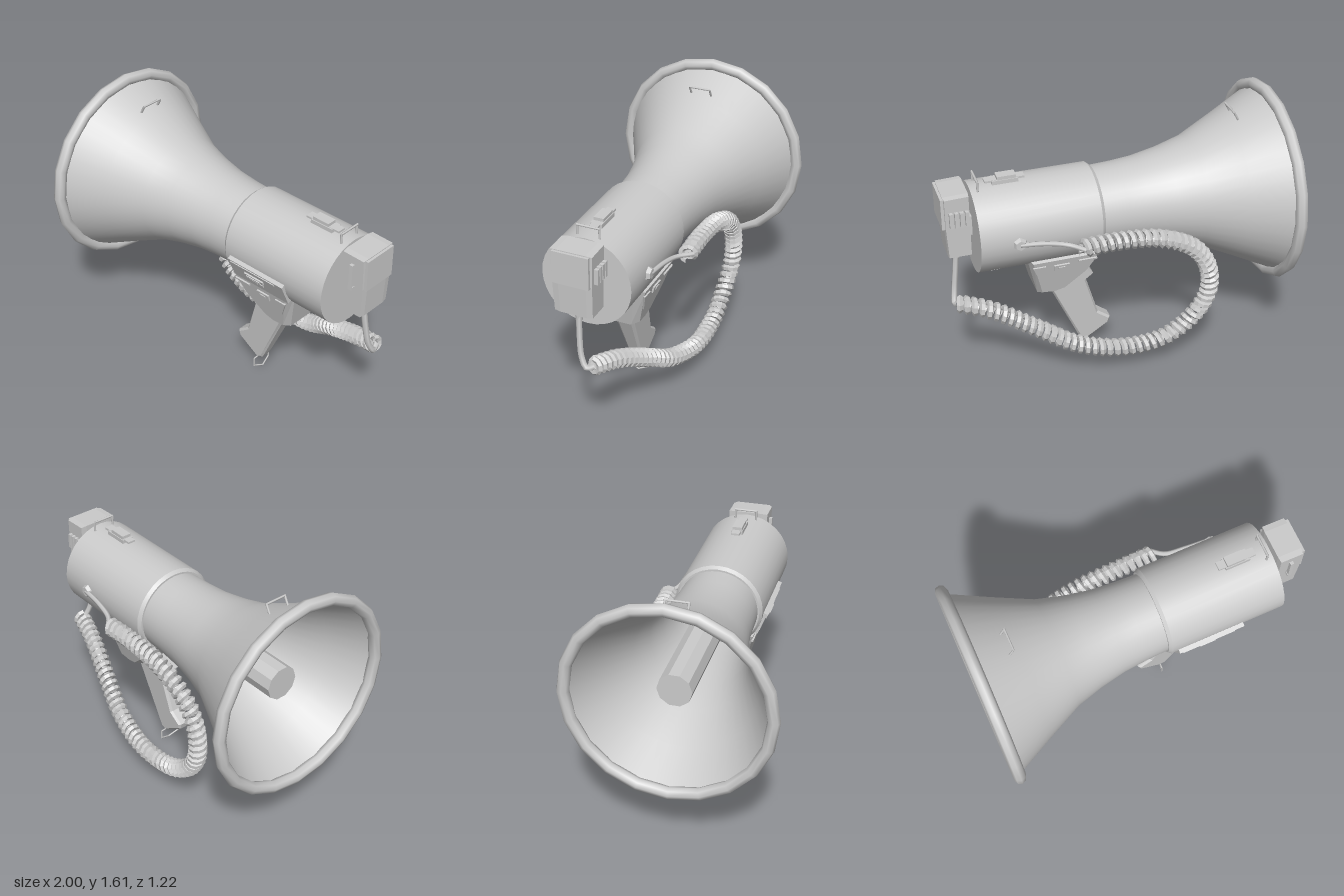
import * as THREE from 'three';

const mat = new THREE.MeshStandardMaterial({ color: 0xcccccc });
const matOpen = new THREE.MeshStandardMaterial({ color: 0xcccccc, side: THREE.DoubleSide });
const matFlat = new THREE.MeshStandardMaterial({ color: 0xcccccc, flatShading: true });
const AXIS_Y = 1.005;
const V = (x, y, z) => new THREE.Vector3(x, y, z);

function add(parent, name, geometry, material = mat) {
  const mesh = new THREE.Mesh(geometry, material);
  mesh.name = name;
  parent.add(mesh);
  return mesh;
}

function box(parent, name, w, h, d, x, y, z) {
  const mesh = add(parent, name, new THREE.BoxGeometry(w, h, d));
  mesh.position.set(x, y, z);
  return mesh;
}

// Surface of revolution about the horn axis, from [x, radius] pairs
function turned(parent, name, profile, segments, material) {
  const geo = new THREE.LatheGeometry(profile.map(([x, r]) => new THREE.Vector2(r, x)), segments);
  geo.rotateZ(-Math.PI / 2).translate(0, AXIS_Y, 0);
  return add(parent, name, geo, material);
}

// Side outline extruded across z, its half width given by a function of height
function slab(parent, name, outline, halfAt, bevel) {
  const shape = new THREE.Shape(outline.map(([x, y]) => new THREE.Vector2(x, y)));
  const geo = new THREE.ExtrudeGeometry(shape, {
    depth: 1.4, bevelEnabled: true, bevelThickness: 0.3, bevelSize: bevel, bevelOffset: -bevel, bevelSegments: 1,
  });
  geo.translate(0, 0, -0.7);
  const p = geo.attributes.position;
  for (let i = 0; i < p.count; i++) p.setZ(i, p.getZ(i) * halfAt(p.getY(i)));
  geo.computeVertexNormals();
  return add(parent, name, geo);
}

// Chain of thin straight rods through the given points
function wireLoop(parent, name, points, r) {
  const group = new THREE.Group();
  group.name = name;
  for (let i = 1; i < points.length; i++) {
    const dir = points[i].clone().sub(points[i - 1]);
    const rod = add(group, name + 'Rod', new THREE.CylinderGeometry(r, r, dir.length() + r, 6));
    rod.position.copy(points[i]).add(points[i - 1]).multiplyScalar(0.5);
    rod.quaternion.setFromUnitVectors(V(0, 1, 0), dir.normalize());
  }
  parent.add(group);
}

const ramp = (y0, w0, y1, w1) => (y) => THREE.MathUtils.mapLinear(y, y0, y1, w0, w1);

// Helix wound around a guide curve
class Coil extends THREE.Curve {
  constructor(path, turns, radius) {
    super();
    Object.assign(this, { path, turns, radius, arcLengthDivisions: 3000 });
  }
  getPoint(t, target = new THREE.Vector3()) {
    const tangent = this.path.getTangentAt(t);
    const n = tangent.clone().cross(V(0, 0, 1)).normalize();
    const b = tangent.cross(n);
    const a = t * this.turns * Math.PI * 2;
    return target.copy(this.path.getPointAt(t))
      .addScaledVector(n, Math.cos(a) * this.radius)
      .addScaledVector(b, Math.sin(a) * this.radius);
  }
}

function buildHorn(g) {
  turned(g, 'hornBell', [[-0.96, 0.555], [-0.93, 0.54], [-0.72, 0.435], [-0.5, 0.33], [-0.34, 0.286],
    [-0.18, 0.256], [-0.04, 0.244], [0.11, 0.238]], 40, matOpen);
  const rim = add(g, 'hornRim', new THREE.TorusGeometry(0.573, 0.036, 8, 20));
  rim.rotation.y = Math.PI / 2;
  rim.position.set(-0.964, AXIS_Y, 0);
  const plug = add(g, 'hornPlug', new THREE.CylinderGeometry(0.1, 0.1, 0.92, 10), matFlat);
  plug.rotation.z = Math.PI / 2;
  plug.position.set(-0.36, AXIS_Y, 0);
  // Carrying strap loop on the bell
  wireLoop(g, 'hornStrapLoop', [V(-0.77, 1.45, 0.065), V(-0.74, 1.505, 0.065),
    V(-0.74, 1.505, -0.065), V(-0.77, 1.45, -0.065)], 0.007);
}

function buildBody(g) {
  const half = [[0.095, 0], [0.095, 0.25], [0.095, 0.25], [0.115, 0.265], [0.115, 0.265],
    [0.82, 0.265], [0.82, 0.265], [0.82, 0]];
  turned(g, 'body', half, 32, matOpen);
  // Battery latch on top, with stepped ends
  box(g, 'topLatchBase', 0.15, 0.03, 0.07, 0.615, 1.275, 0);
  box(g, 'topLatchPlate', 0.23, 0.012, 0.05, 0.615, 1.286, 0);
  box(g, 'topLatchCap', 0.11, 0.02, 0.06, 0.605, 1.3, 0);
  box(g, 'lowerLatch', 0.12, 0.025, 0.07, 0.68, 0.728, 0);
  box(g, 'lowerLatchTip', 0.06, 0.02, 0.05, 0.7, 0.71, 0);
  wireLoop(g, 'rearStrapLoop', [V(0.78, 1.25, 0.065), V(0.78, 1.318, 0.065),
    V(0.78, 1.318, -0.065), V(0.78, 1.25, -0.065)], 0.007);

  // Control panel leaning on the side of the body
  const panel = new THREE.Group();
  panel.name = 'controlPanel';
  panel.position.set(0.355, 0.9, 0.245);
  panel.rotation.x = 0.4;
  box(panel, 'panelPlate', 0.41, 0.15, 0.025, 0, 0, 0);
  box(panel, 'panelLip', 0.33, 0.012, 0.008, -0.02, 0.06, 0.014);
  box(panel, 'panelSwitch', 0.14, 0.025, 0.012, -0.02, 0.012, 0.016);
  box(panel, 'panelSwitchBar', 0.1, 0.01, 0.012, -0.02, 0.012, 0.022);
  box(panel, 'panelKnob', 0.07, 0.02, 0.012, -0.04, -0.022, 0.016);
  box(panel, 'panelLamp', 0.02, 0.02, 0.012, 0.03, -0.022, 0.016);
  g.add(panel);
}

function buildHandle(g) {
  slab(g, 'handleHousing', [[0.1, 0.83], [0.13, 0.74], [0.17, 0.67], [0.3, 0.55], [0.37, 0.53],
    [0.47, 0.54], [0.54, 0.83]], ramp(0.54, 0.135, 0.83, 0.21), 0.025);
  slab(g, 'grip', [[0.19, 0.7], [0.17, 0.67], [0.11, 0.57], [0.155, 0.535], [0.08, 0.28], [0, 0.22],
    [0.01, 0.18], [0.15, 0.085], [0.19, 0.1], [0.21, 0.14], [0.39, 0.54], [0.4, 0.7]],
  ramp(0.08, 0.038, 0.6, 0.066), 0.012);
  // Buttons and recess covers on both sides of the housing
  for (const side of [1, -1]) {
    const details = new THREE.Group();
    details.name = side > 0 ? 'housingDetailsFront' : 'housingDetailsBack';
    details.position.set(0, 0.755, side * 0.193);
    details.rotation.x = side * 0.25;
    box(details, 'housingButton', 0.09, 0.04, 0.016, 0.345, 0, 0);
    box(details, 'housingButtonSlider', 0.04, 0.015, 0.026, 0.345, 0, 0);
    box(details, 'housingRidge', 0.11, 0.012, 0.016, 0.19, 0.025, 0);
    const tri = new THREE.Shape([[0.44, 0.025], [0.47, -0.09], [0.515, 0.025]].map(([x, y]) => new THREE.Vector2(x, y)));
    const cover = add(details, 'triangleCover', new THREE.ExtrudeGeometry(tri, { depth: 0.012, bevelEnabled: false }));
    cover.position.z = -0.006;
    g.add(details);
  }
  // Strap ring below the grip
  wireLoop(g, 'gripStrapRing', [V(0.155, 0.092, 0.03), V(0.155, 0.088, 0.065), V(0.155, 0.035, 0.065),
    V(0.168, 0.008, 0), V(0.155, 0.035, -0.065), V(0.155, 0.088, -0.065), V(0.155, 0.092, -0.03)], 0.005);
}

function buildMicrophone(g) {
  slab(g, 'microphoneBody', [[0.84, 0.885], [0.975, 0.885], [0.985, 1.08], [0.985, 1.27], [0.84, 1.275]],
    ramp(0.885, 0.112, 1.27, 0.122), 0.004);
  box(g, 'microphoneGrille', 0.09, 0.19, 0.215, 0.955, 1.17, 0);
  box(g, 'microphoneMount', 0.04, 0.12, 0.1, 0.83, 1.04, 0);
  box(g, 'microphoneClip', 0.022, 0.16, 0.025, 0.912, 1.14, 0.127);
  box(g, 'microphoneClipFoot', 0.03, 0.02, 0.03, 0.912, 1.07, 0.122);
  for (let i = 0; i < 4; i++) box(g, 'talkButtonRib', 0.02, 0.09, 0.035, 0.86 + i * 0.03, 1.14, -0.125);
}

function buildCord(g) {
  const lead = new THREE.CatmullRomCurve3([V(0.91, 0.89, 0), V(0.925, 0.75, -0.005), V(0.945, 0.6, -0.025),
    V(0.955, 0.545, -0.06), V(0.94, 0.56, -0.1)]);
  add(g, 'microphoneLead', new THREE.TubeGeometry(lead, 16, 0.018, 6));
  const relief = add(g, 'leadSleeve', new THREE.CylinderGeometry(0.026, 0.02, 0.08, 8));
  relief.position.set(0.912, 0.86, 0);

  // Curly cord sagging under the horn and back up along the far side
  const path = new THREE.CatmullRomCurve3([V(0.94, 0.56, -0.09), V(0.75, 0.5, -0.14), V(0.5, 0.37, -0.22),
    V(0.28, 0.25, -0.28), V(0, 0.19, -0.32), V(-0.25, 0.21, -0.32), V(-0.43, 0.33, -0.32),
    V(-0.515, 0.5, -0.335), V(-0.5, 0.68, -0.34), V(-0.4, 0.83, -0.345), V(-0.2, 0.93, -0.345),
    V(0.04, 0.96, -0.345), V(0.27, 0.96, -0.35)]);
  const coil = new Coil(path, 62, 0.04);
  add(g, 'curlyCord', new THREE.TubeGeometry(coil, 620, 0.018, 5), matFlat);

  const tail = new THREE.CatmullRomCurve3([V(0.25, 0.96, -0.38), V(0.33, 0.97, -0.315), V(0.45, 0.99, -0.29), V(0.6, 1, -0.275)]);
  add(g, 'cordTail', new THREE.TubeGeometry(tail, 16, 0.015, 6));
  const plug = add(g, 'cordSocket', new THREE.CylinderGeometry(0.03, 0.045, 0.03, 6), matFlat);
  plug.rotation.x = -Math.PI / 2;
  plug.position.set(0.6, 1, -0.27);
}

export function createModel() {
  const model = new THREE.Group();
  model.name = 'megaphone';
  const parts = { horn: buildHorn, bodyAssembly: buildBody, handle: buildHandle, microphone: buildMicrophone, cord: buildCord };
  for (const [name, build] of Object.entries(parts)) {
    const group = new THREE.Group();
    group.name = name;
    build(group);
    model.add(group);
  }
  return model;
}
